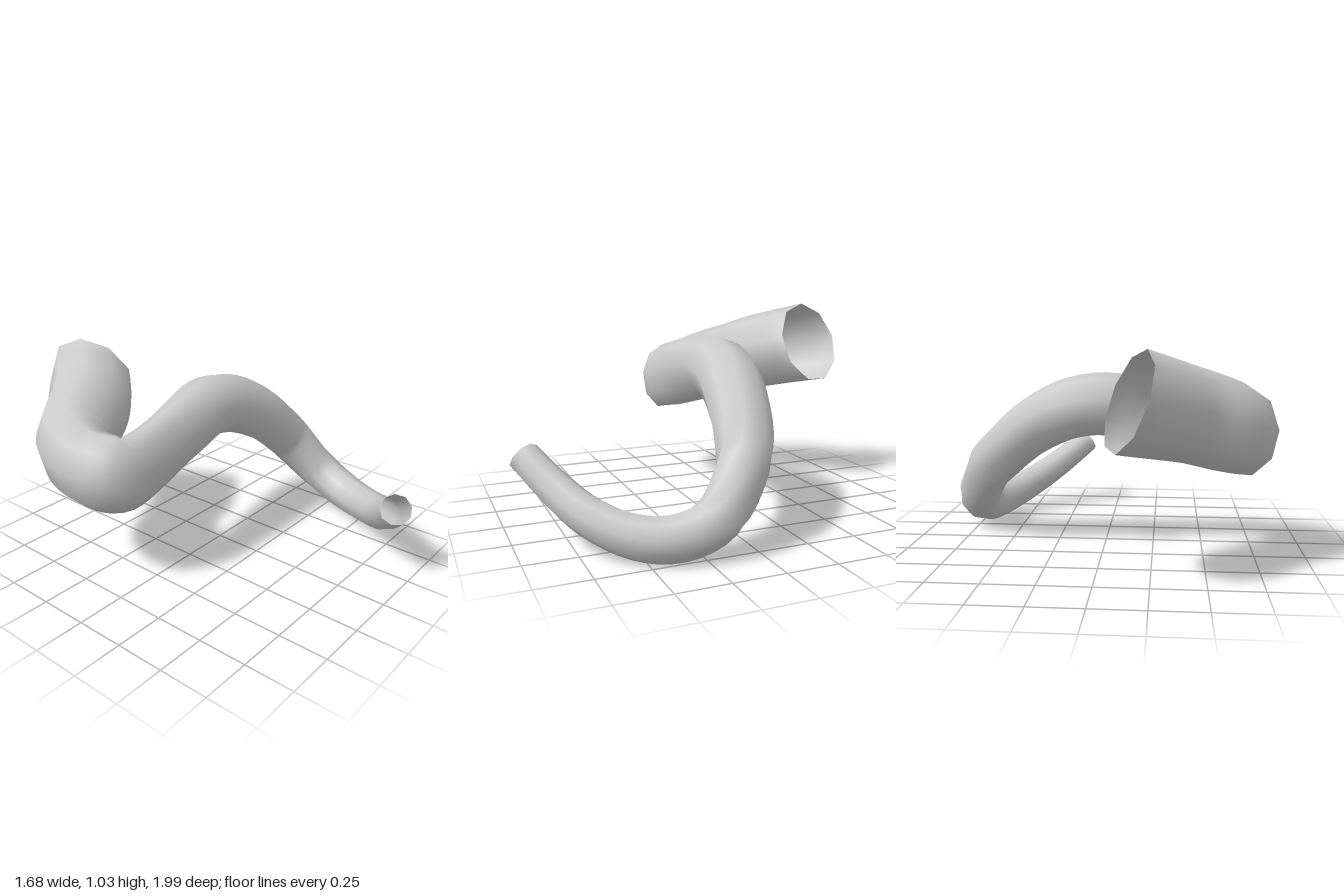
import * as THREE from 'three';

const SIDES = 9;
const STEPS = 4; // rings per section

// centre x, y, z, half-width across, half-height; from the wide mouth to the tip
const SECTIONS = [
  [-0.155, 0.82, -0.785, 0.235, 0.23],
  [-0.39, 0.745, -0.555, 0.215, 0.22],
  [-0.58, 0.68, -0.44, 0.195, 0.215],
  [-0.66, 0.645, -0.35, 0.175, 0.21],
  [-0.69, 0.61, -0.225, 0.155, 0.2],
  [-0.66, 0.6, -0.11, 0.15, 0.195],
  [-0.59, 0.605, -0.05, 0.115, 0.185],
  [-0.4, 0.65, -0.045, 0.108, 0.178],
  [-0.22, 0.695, -0.065, 0.13, 0.172],
  [0, 0.738, -0.098, 0.153, 0.163],
  [0.2, 0.705, -0.1, 0.16, 0.157],
  [0.4, 0.6, -0.06, 0.15, 0.145],
  [0.56, 0.46, -0.015, 0.137, 0.135],
  [0.65, 0.35, 0.045, 0.12, 0.125],
  [0.725, 0.19, 0.18, 0.112, 0.113],
  [0.713, 0.115, 0.36, 0.104, 0.107],
  [0.637, 0.118, 0.535, 0.096, 0.1],
  [0.5, 0.185, 0.7, 0.09, 0.09],
  [0.35, 0.285, 0.815, 0.082, 0.082],
  [0.2, 0.405, 0.92, 0.078, 0.076],
];

// Open tapered tube with an oval ring at every step of the path
function taperedTube() {
  const spline = (f) => new THREE.CatmullRomCurve3(SECTIONS.map(f), false, 'catmullrom', 0.5);
  const path = spline((s) => new THREE.Vector3(s[0], s[1], s[2]));
  const size = spline((s) => new THREE.Vector3(s[3], s[4], 0));
  const up = new THREE.Vector3(0, 1, 0);
  const mouthNormal = new THREE.Vector3(-0.87, -0.34, 0.35);
  const segments = SECTIONS.length - 1;
  const rings = segments * STEPS;
  const positions = [];
  const index = [];

  for (let i = 0; i <= rings; i++) {
    const t = i / rings;
    const centre = path.getPoint(t);
    const r = size.getPoint(t);
    const tangent = path.getTangent(t);
    // the wide mouth is cut at a slant
    const slant = Math.max(0, 1 - t * segments);
    tangent.lerp(mouthNormal, slant).normalize();
    const across = new THREE.Vector3().crossVectors(tangent, up).normalize();
    const rise = new THREE.Vector3().crossVectors(across, tangent);
    for (let j = 0; j < SIDES; j++) {
      const a = (j / SIDES) * Math.PI * 2 + 0.1;
      const p = centre.clone()
        .addScaledVector(across, Math.cos(a) * r.x)
        .addScaledVector(rise, Math.sin(a) * r.y);
      positions.push(p.x, p.y, p.z);
      if (i < rings) {
        const k = (j + 1) % SIDES;
        const a0 = i * SIDES + j, b0 = i * SIDES + k;
        index.push(a0, a0 + SIDES, b0, b0, a0 + SIDES, b0 + SIDES);
      }
    }
  }

  const geometry = new THREE.BufferGeometry();
  geometry.setAttribute('position', new THREE.Float32BufferAttribute(positions, 3));
  geometry.setIndex(index);
  geometry.computeVertexNormals();
  return geometry;
}

export function createModel() {
  const model = new THREE.Group();
  model.name = 'curledHorn';
  const material = new THREE.MeshStandardMaterial({ color: 0xcccccc, side: THREE.DoubleSide });
  const tube = new THREE.Mesh(taperedTube(), material);
  tube.name = 'taperedTube';
  model.add(tube);
  return model;
}
